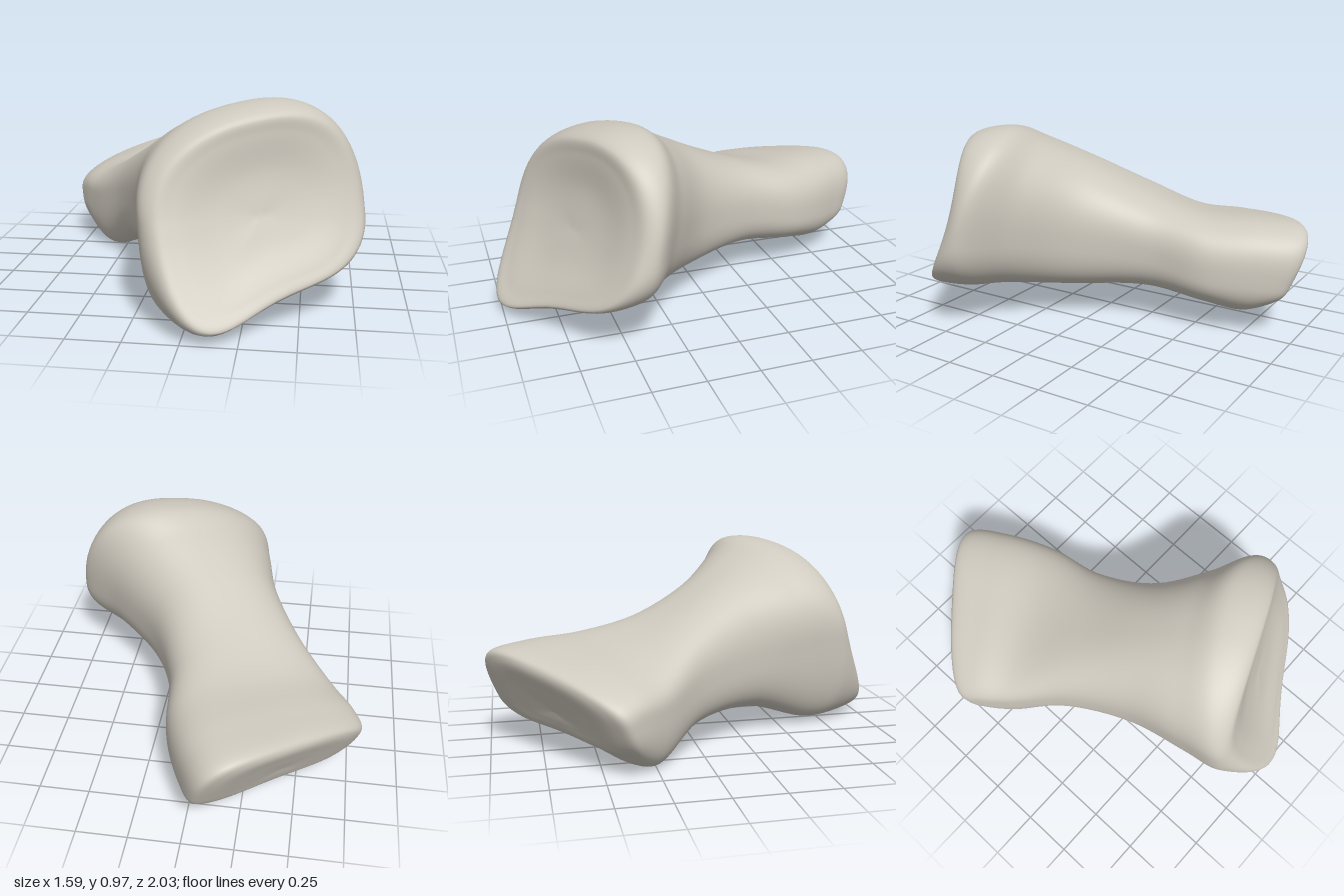
import * as THREE from 'three';
import { mergeVertices } from 'three/addons/utils/BufferGeometryUtils.js';

const AROUND = 96, ALONG = 96;

// The bone runs diagonally: u is across it, a is along it
const toWorld = (u, y, a) => new THREE.Vector3(0.89 * u + 0.45 * a, y, -0.45 * u + 0.89 * a);

// Stations from the back end to the front end: place along the bone, extents,
// slope of the top and underside, groove below, roundness of the top (1 is an
// ellipse), lean and bend of the section plane
const stations = [
  { at: -0.81, left: -0.53, right: 0.39, bottom: 0.08, mid: 0.25, top: 0.48, topTilt: 0.09, lowTilt: 0.04, groove: 0.04, crown: 0.7, leanY: -0.45, leanU: -0.17, bend: 0 },
  { at: -0.69, left: -0.53, right: 0.41, bottom: 0.01, mid: 0.28, top: 0.51, topTilt: 0.08, lowTilt: 0.05, groove: 0.06, crown: 0.7, leanY: -0.2, leanU: -0.1, bend: 0 },
  { at: -0.48, left: -0.5, right: 0.39, bottom: 0, mid: 0.29, top: 0.53, topTilt: 0.06, lowTilt: 0.11, groove: 0.09, crown: 0.72, leanY: 0, leanU: 0, bend: 0 },
  { at: -0.2, left: -0.43, right: 0.29, bottom: 0.1, mid: 0.36, top: 0.63, topTilt: 0, lowTilt: 0.04, groove: 0.05, crown: 0.76, leanY: 0, leanU: 0, bend: 0 },
  { at: 0.15, left: -0.43, right: 0.28, bottom: 0.1, mid: 0.42, top: 0.77, topTilt: 0, lowTilt: 0.02, groove: 0.04, crown: 0.82, leanY: -0.15, leanU: 0, bend: 0 },
  { at: 0.45, left: -0.5, right: 0.4, bottom: 0.03, mid: 0.47, top: 0.88, topTilt: 0.04, lowTilt: 0.14, groove: 0.09, crown: 0.85, leanY: -0.25, leanU: 0.03, bend: -0.1 },
  { at: 0.67, left: -0.55, right: 0.52, bottom: 0.04, mid: 0.48, top: 0.95, topTilt: 0.08, lowTilt: 0.16, groove: 0.07, crown: 0.85, leanY: -0.2, leanU: 0.05, bend: -0.4 },
];

// Wave between -1 and 1 with flattened peaks
const squared = (n, power) => Math.sign(n) * Math.abs(n) ** power;

// Outline of one station, optionally shrunk and shifted along the bone
function ring(s, scale = 1, shift = 0) {
  const centre = (s.left + s.right) / 2, half = (s.right - s.left) / 2;
  return Array.from({ length: AROUND }, (_, j) => {
    const angle = (j / AROUND) * Math.PI * 2;
    const power = Math.sin(angle) > 0 ? s.crown : 0.7;
    const w = squared(Math.cos(angle), power), v = squared(Math.sin(angle), power);
    const rise = v > 0
      ? v * (s.top - s.mid + s.topTilt * w)
      : -v * (s.bottom - s.mid + s.lowTilt * w + s.groove * (1 - w * w) ** 2);
    const u = centre + half * w * scale;
    const y = rise * scale;
    return toWorld(u, s.mid + y, s.at + shift + s.leanY * y + s.leanU * u + s.bend * y * y);
  });
}

function boneGeometry() {
  const back = stations[0];
  // Joint face: a trough running across the front end
  const face = { ...stations[stations.length - 1], leanY: -0.36, bend: 0.5 };
  const rings = [
    // rounded back end
    ring(back, 0, -0.03), ring(back, 0.45, -0.035), ring(back, 0.85, -0.03),
    // shaft
    ...stations.map((s) => ring(s)),
    // rim and joint face
    ring(face, 0.92, 0.07), ring(face, 0.75, 0.085), ring(face, 0.4, 0.075), ring(face, 0, 0.07),
  ];

  // Smooth every column lengthwise, then skin the grid
  const positions = [], index = [];
  for (let j = 0; j < AROUND; j++) {
    const column = new THREE.CatmullRomCurve3(rings.map((r) => r[j]));
    for (let i = 0; i <= ALONG; i++) positions.push(...column.getPoint(i / ALONG).toArray());
  }
  const id = (i, j) => (j % AROUND) * (ALONG + 1) + i;
  for (let j = 0; j < AROUND; j++) {
    for (let i = 0; i < ALONG; i++) {
      // one triangle at each pole, two elsewhere
      if (i > 0) index.push(id(i, j), id(i, j + 1), id(i + 1, j + 1));
      if (i < ALONG - 1) index.push(id(i, j), id(i + 1, j + 1), id(i + 1, j));
    }
  }
  const grid = new THREE.BufferGeometry();
  grid.setAttribute('position', new THREE.Float32BufferAttribute(positions, 3));
  grid.setIndex(index);
  const geometry = mergeVertices(grid, 1e-5);
  geometry.computeVertexNormals();
  return geometry;
}

export function createModel() {
  const group = new THREE.Group();
  group.name = 'toeBone';
  const boneMaterial = new THREE.MeshStandardMaterial({ color: 0xcfcabf });
  boneMaterial.name = 'bone';
  const bone = new THREE.Mesh(boneGeometry(), boneMaterial);
  bone.name = 'bone';
  group.add(bone);
  return group;
}
